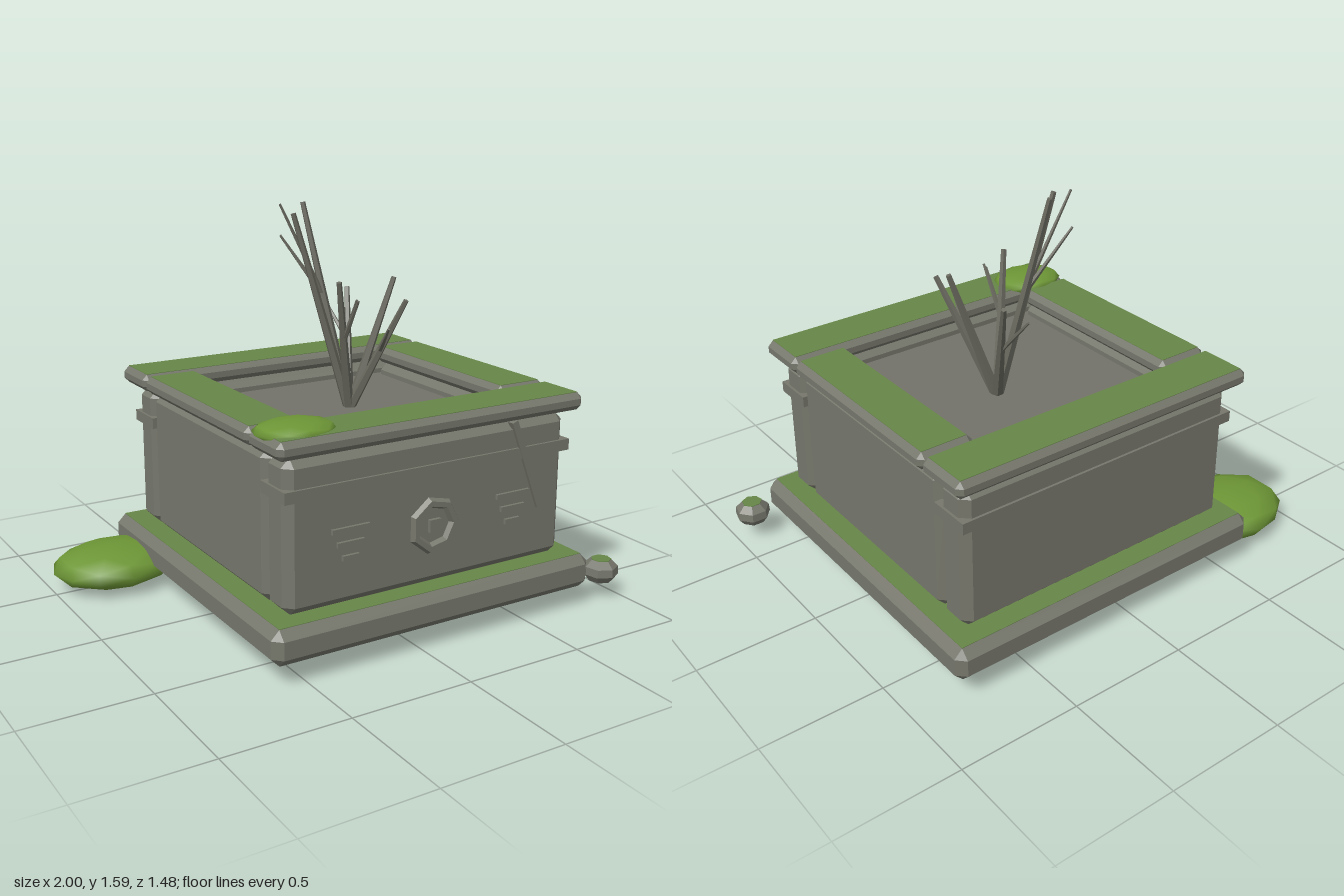
import * as THREE from 'three';
import { mergeVertices } from 'three/addons/utils/BufferGeometryUtils.js';
import { ConvexGeometry } from 'three/addons/geometries/ConvexGeometry.js';

const material = (name, color) => {
  const m = new THREE.MeshStandardMaterial({ color });
  m.name = name;
  return m;
};

export function createModel() {
  const root = new THREE.Group();
  root.name = 'stonePlanter';
  const stone = material('stone', 0x76776c);
  const soilGrey = material('soil', 0x72726a);
  const moss = material('moss', 0x668548);
  const leaf = material('leaf', 0x6d9636);
  const twigGrey = material('twig', 0x6a6a60);

  const add = (name, geometry, mat, x = 0, y = 0, z = 0) => {
    const mesh = new THREE.Mesh(geometry, mat);
    mesh.name = name;
    mesh.position.set(x, y, z);
    root.add(mesh);
    return mesh;
  };

  // Box with chamfered edges, given by its limits on each axis
  const block = (name, [x0, x1], [y0, y1], [z0, z1], c, mossy = false) => {
    const [w, h, d] = [x1 - x0, y1 - y0, z1 - z0];
    const pts = [];
    for (const sx of [-1, 1]) for (const sy of [-1, 1]) for (const sz of [-1, 1]) {
      for (let k = 0; k < 3; k++) {
        pts.push(new THREE.Vector3(
          sx * (w / 2 - (k === 0 ? 0 : c)),
          sy * (h / 2 - (k === 1 ? 0 : c)),
          sz * (d / 2 - (k === 2 ? 0 : c))));
      }
    }
    const [x, y, z] = [(x0 + x1) / 2, (y0 + y1) / 2, (z0 + z1) / 2];
    add(name, new ConvexGeometry(pts), stone, x, y, z);
    if (mossy) {
      add(name + 'Moss', new THREE.BoxGeometry(w - 2 * c, 0.004, d - 2 * c), moss, x, y1, z);
    }
  };
  const box = (name, [x0, x1], [y0, y1], [z0, z1], mat) => add(name,
    new THREE.BoxGeometry(x1 - x0, y1 - y0, z1 - z0), mat,
    (x0 + x1) / 2, (y0 + y1) / 2, (z0 + z1) / 2);

  // Plinth, four walls and the capstones
  block('base', [-0.635, 0.825], [0.08, 0.22], [-0.745, 0.715], 0.035, true);
  const wallY = [0.22, 0.81], capY = [0.82, 0.89];
  block('frontWall', [-0.54, 0.73], wallY, [0.47, 0.625], 0.035);
  block('backWall', [-0.54, 0.73], wallY, [-0.65, -0.495], 0.035);
  block('leftWall', [0.58, 0.73], wallY, [-0.5, 0.475], 0.035);
  block('rightWall', [-0.54, -0.39], wallY, [-0.5, 0.475], 0.035);
  block('frontCap', [-0.59, 0.78], capY, [0.435, 0.67], 0.022, true);
  block('backCap', [-0.59, 0.78], capY, [-0.7, -0.465], 0.022, true);
  block('leftCap', [0.545, 0.78], capY, [-0.465, 0.435], 0.022, true);
  block('rightCap', [-0.59, -0.355], capY, [-0.465, 0.435], 0.022, true);

  // Raised bands along the front and back walls
  box('frontBand', [-0.55, 0.74], [0.655, 0.7], [0.46, 0.635], stone);
  box('backBand', [-0.55, 0.74], [0.655, 0.7], [-0.66, -0.485], stone);
  box('soil', [-0.42, 0.61], [0.68, 0.755], [-0.53, 0.5], soilGrey);

  // Front ornament: faceted ring, centre stud, stepped bars and a slanted strip
  const ring = new THREE.TorusGeometry(0.093, 0.022, 6, 7).toNonIndexed();
  ring.computeVertexNormals();
  add('ornamentRing', ring, stone, 0.095, 0.46, 0.625);
  add('ornamentStud', new THREE.BoxGeometry(0.05, 0.05, 0.03), stone, 0.095, 0.46, 0.625);
  for (const x of [-0.275, 0.467]) {
    [0.16, 0.115, 0.07].forEach((w, i) =>
      add('ornamentBar', new THREE.BoxGeometry(w, 0.02, 0.03), stone, x, 0.517 - i * 0.054, 0.622));
  }
  const strip = add('slantedStrip', new THREE.BoxGeometry(0.027, 0.39, 0.03), stone, 0.532, 0.627, 0.623);
  strip.rotation.z = Math.atan2(0.14, 0.365);

  // Bare plant: thick stems from one root, with thin side twigs
  const rod = (name, a, b, r0, r1) => {
    const p = new THREE.Vector3(...a), q = new THREE.Vector3(...b);
    const dir = q.clone().sub(p);
    const g = new THREE.CylinderGeometry(r1, r0, dir.length(), 5).toNonIndexed();
    g.computeVertexNormals();
    const mesh = add(name, g, twigGrey);
    mesh.position.copy(p).lerp(q, 0.5);
    mesh.quaternion.setFromUnitVectors(new THREE.Vector3(0, 1, 0), dir.normalize());
  };
  const foot = [0.15, 0.74, -0.06];
  const stems = [
    { tip: [-0.08, 1.56, -0.115], twigs: [] },
    { tip: [0.03, 1.59, -0.23], twigs: [[-0.093, 1.59, -0.2], [-0.07, 1.46, -0.24]] },
    { tip: [0.26, 1.22, -0.255], twigs: [[0.18, 1.16, -0.3]] },
    { tip: [0.33, 1.29, -0.005], twigs: [] },
    { tip: [0.285, 1.22, 0.15], twigs: [[0.18, 1.12, 0.185]] },
    { tip: [0.03, 1.3, 0.053], twigs: [[0.08, 1.23, 0.118], [0.09, 1.23, 0.09]] },
  ];
  for (const { tip, twigs } of stems) {
    rod('stem', foot, tip, 0.023, 0.011);
    const fork = foot.map((v, i) => v + (tip[i] - v) * 0.55);
    for (const end of twigs) rod('sideTwig', fork, end, 0.011, 0.005);
  }

  // Rounded moss clumps
  const clump = (name, x, y, z, rx, ry, rz) => {
    let g = new THREE.IcosahedronGeometry(1, 1);
    g.deleteAttribute('normal');
    g.deleteAttribute('uv');
    g = mergeVertices(g, 1e-3);
    g.scale(rx, ry, rz);
    g.computeVertexNormals();
    add(name, g, leaf, x, y, z);
  };
  clump('groundClump', -0.735, 0.09, -0.51, 0.27, 0.087, 0.215);
  clump('capClump', -0.445, 0.888, 0.523, 0.16, 0.038, 0.127);

  // Small loose stone with a mossy top
  const profile = [[0, -0.045], [0.05, -0.045], [0.073, -0.015], [0.07, 0.018], [0.042, 0.045], [0, 0.045]];
  const pebble = new THREE.LatheGeometry(profile.map(p => new THREE.Vector2(...p)), 7).toNonIndexed();
  pebble.computeVertexNormals();
  add('looseStone', pebble, stone, 0.922, 0.12, 0.665);
  add('looseStoneMoss', new THREE.CylinderGeometry(0.042, 0.042, 0.004, 7), moss, 0.922, 0.165, 0.665);

  return root;
}
